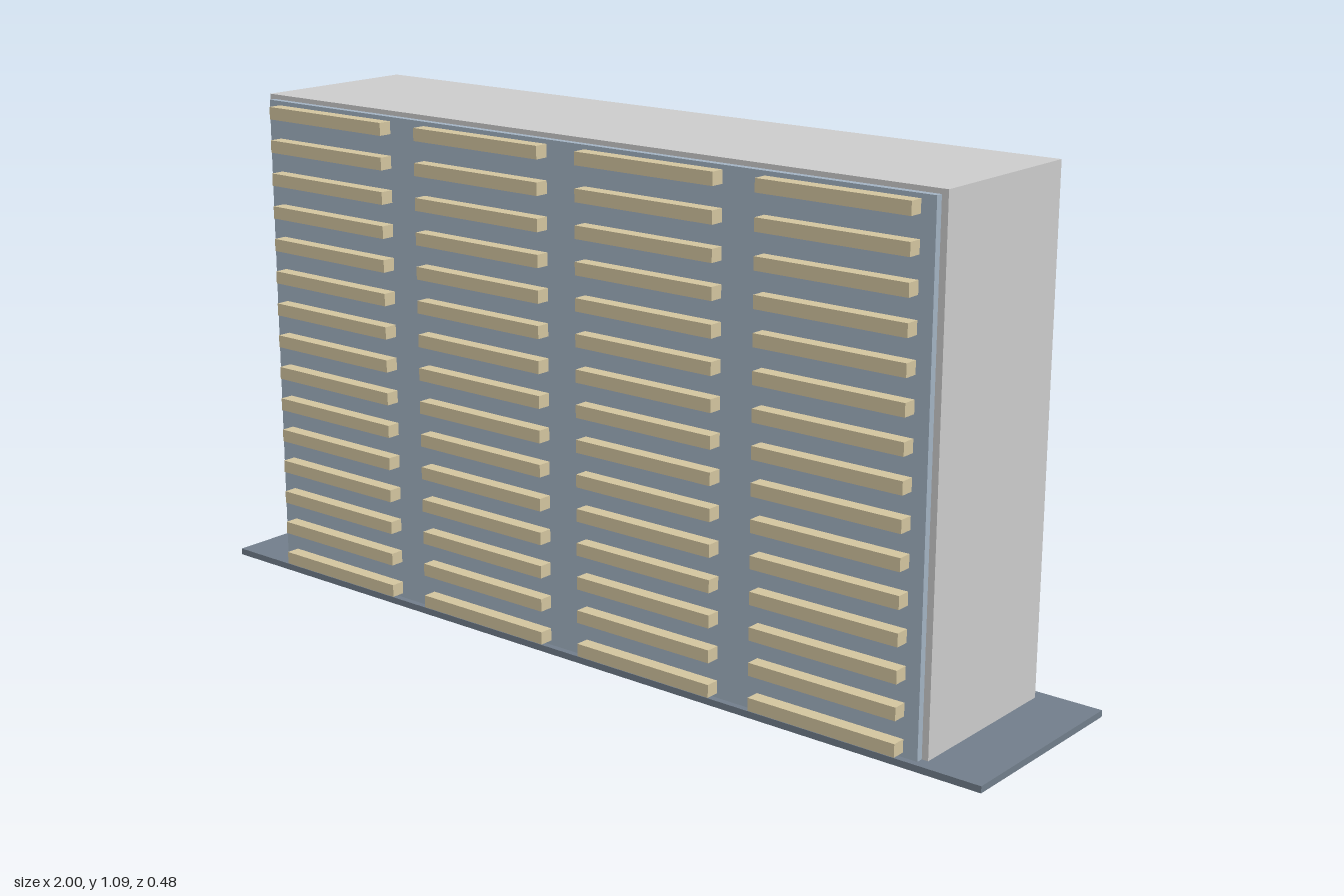
import * as THREE from 'three';

const material = (color) => new THREE.MeshStandardMaterial({ color });

// Box given by its size and centre
function box(name, size, centre, mat) {
  const mesh = new THREE.Mesh(new THREE.BoxGeometry(...size), mat);
  mesh.name = name;
  mesh.position.set(...centre);
  return mesh;
}

export function createModel() {
  const model = new THREE.Group();
  model.name = 'slattedBlock';
  const wall = material(0xcccccc);
  const panelBlue = material(0xa2b2c2);
  const baseBlue = material(0x717d8a);
  const beige = material(0xd2c49e);

  // Ground slab and main block
  const baseTop = 0.014, height = 1.086;
  model.add(box('base', [2, baseTop, 0.444], [0, baseTop / 2, 0], baseBlue));
  model.add(box('body', [1.736, height - 0.005, 0.386], [0, (height + 0.005) / 2, 0], wall));

  // Front and back facades, each with four columns of fifteen slats
  const columns = [-0.653, -0.218, 0.218, 0.653];
  const rows = 15, firstRow = 0.037, rowStep = 0.0726;
  for (const side of [1, -1]) {
    const facade = new THREE.Group();
    facade.name = side > 0 ? 'frontFacade' : 'backFacade';
    facade.add(box('panel', [1.708, 1.07, 0.02], [0, 0.541, side * 0.198], panelBlue));
    for (const x of columns) {
      for (let row = 0; row < rows; row++) {
        const y = firstRow + row * rowStep;
        facade.add(box('slat', [0.338, 0.027, 0.034], [x, y, side * 0.221], beige));
      }
    }
    model.add(facade);
  }
  return model;
}
